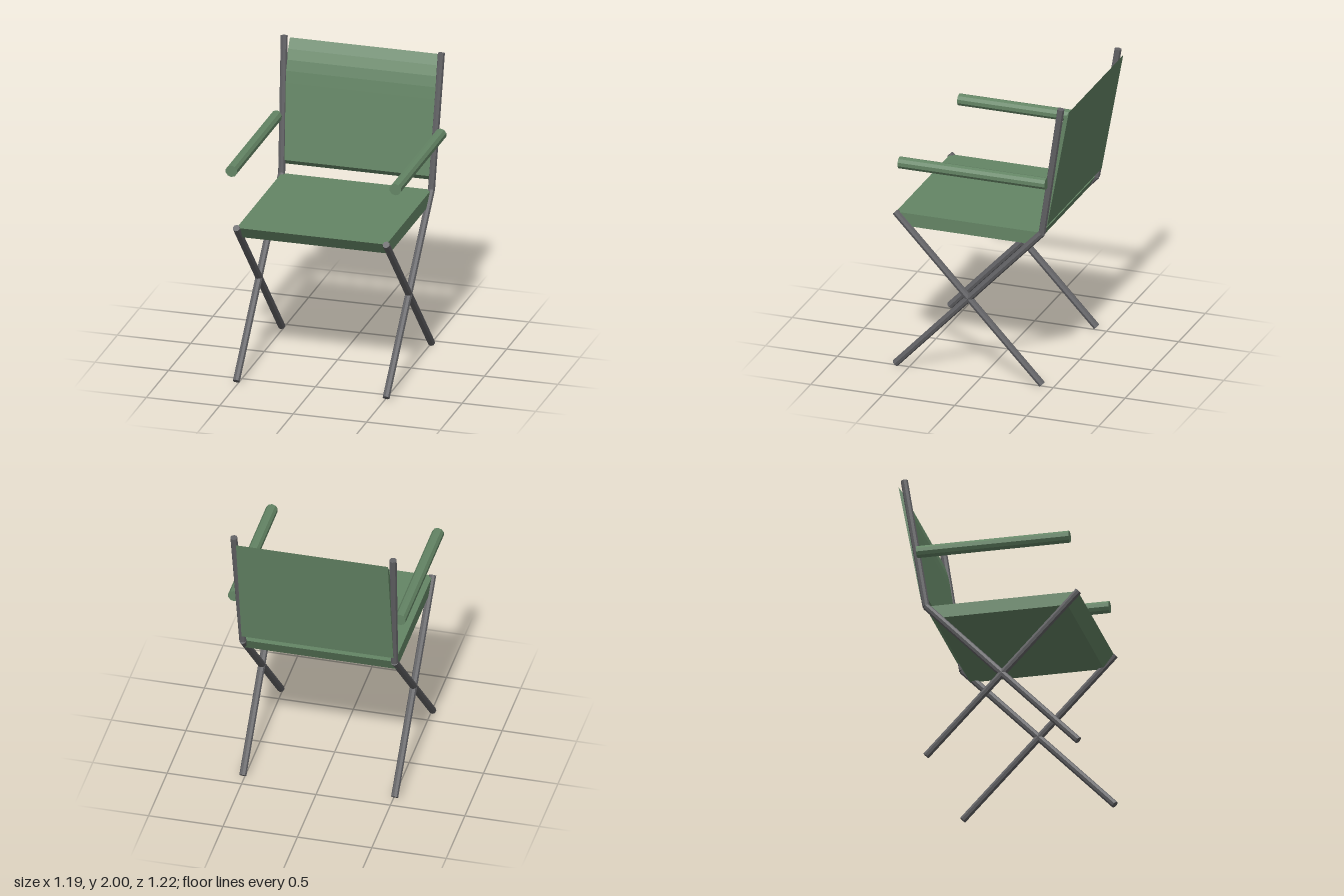
import * as THREE from 'three';

const V = (x, y, z) => new THREE.Vector3(x, y, z);

// Straight tube between two points
function rod(name, a, b, radius, sides, material) {
  const dir = b.clone().sub(a);
  const mesh = new THREE.Mesh(new THREE.CylinderGeometry(radius, radius, dir.length(), sides), material);
  mesh.position.copy(a).add(b).multiplyScalar(0.5);
  mesh.quaternion.setFromUnitVectors(V(0, 1, 0), dir.normalize());
  mesh.name = name;
  return mesh;
}

// Side profile of [z, y] points swept across the chair's width
function panel(name, profile, halfWidth, material) {
  const shape = new THREE.Shape(profile.map(([z, y]) => new THREE.Vector2(-z, y)));
  const geometry = new THREE.ExtrudeGeometry(shape, { depth: halfWidth * 2, bevelEnabled: false });
  geometry.rotateY(Math.PI / 2).translate(-halfWidth, 0, 0);
  const mesh = new THREE.Mesh(geometry, material);
  mesh.name = name;
  return mesh;
}

export function createModel() {
  const chair = new THREE.Group();
  chair.name = 'foldingChair';

  const fabric = new THREE.MeshStandardMaterial({ color: 0x648565 });
  fabric.name = 'greenFabric';
  const metal = new THREE.MeshStandardMaterial({ color: 0x626265, flatShading: true });
  metal.name = 'greyMetal';

  // Sling seat, narrower underneath
  chair.add(panel('seat', [[0.59, 1.09], [-0.425, 1.09], [-0.375, 1.0], [0.52, 1.0]], 0.51, fabric));

  // Leaning backrest with its top sloping softly into the front
  chair.add(panel('backrest', [
    [-0.462, 1.145], [-0.612, 1.97], [-0.572, 1.905], [-0.542, 1.84],
    [-0.522, 1.77], [-0.508, 1.69], [-0.432, 1.18],
  ], 0.51, fabric));

  for (const [side, s] of [['left', 1], ['right', -1]]) {
    // Crossed legs
    chair.add(rod(side + 'FrontFootLeg', V(s * 0.51, 0.017, 0.593), V(s * 0.51, 1.09, -0.427), 0.024, 8, metal));
    chair.add(rod(side + 'BackFootLeg', V(s * 0.51, 0.017, -0.427), V(s * 0.51, 1.09, 0.593), 0.024, 8, metal));
    // Back post leaning back and outwards
    chair.add(rod(side + 'BackPost', V(s * 0.51, 1.09, -0.427), V(s * 0.535, 1.997, -0.567), 0.024, 8, metal));
    // Padded armrest
    const arm = rod(side + 'Armrest', V(s * 0.558, 1.465, -0.475), V(s * 0.558, 1.465, 0.547), 0.04, 10, fabric);
    arm.geometry = arm.geometry.toNonIndexed();
    arm.geometry.computeVertexNormals();
    chair.add(arm);
  }
  return chair;
}
